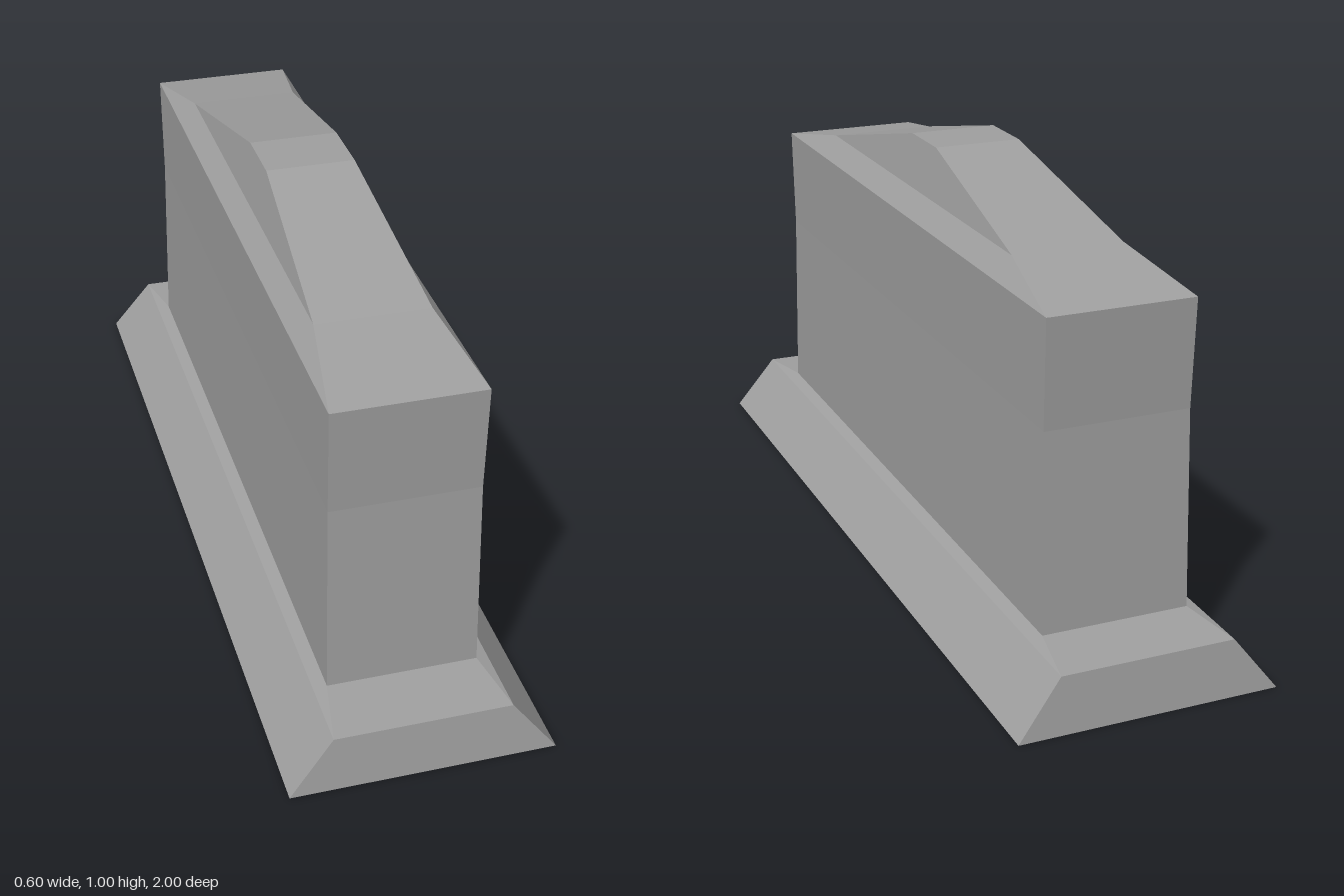
import * as THREE from 'three';

const stone = new THREE.MeshStandardMaterial({ color: 0xa0a0a0, side: THREE.DoubleSide, flatShading: true });
stone.name = 'grey stone';

// Flat-shaded mesh from planar quads, corners counter-clockwise from outside
function quadMesh(name, quads) {
  const positions = quads.flatMap(([a, b, c, d]) => [a, b, c, a, c, d].flat());
  const geometry = new THREE.BufferGeometry();
  geometry.setAttribute('position', new THREE.Float32BufferAttribute(positions, 3));
  geometry.computeVertexNormals();
  const mesh = new THREE.Mesh(geometry, stone);
  mesh.name = name;
  return mesh;
}

// Rectangular ring given as half width, height, half length
const ring = ([x, y, z]) => [[x, y, z], [x, y, -z], [-x, y, -z], [-x, y, z]];

// Four-sided open shell joining successive rings
function loft(name, sections) {
  const quads = [];
  for (let i = 0; i < sections.length - 1; i++) {
    const low = ring(sections[i]), high = ring(sections[i + 1]);
    for (let k = 0; k < 4; k++) {
      const n = (k + 1) % 4;
      quads.push([low[k], low[n], high[n], high[k]]);
    }
  }
  return quadMesh(name, quads);
}

export function createModel() {
  const model = new THREE.Group();
  model.name = 'monument';

  const plinthTop = [0.2, 0.128, 0.985];
  const bodyFoot = [0.171, 0.136, 0.83];
  const eaves = [0.17, 0.837, 0.823];

  // Hollow base: sloping skirt, ledge and turned-in bottom lip
  model.add(loft('plinthLip', [[0.25, 0.03, 0.845], [0.3, 0, 1]]));
  model.add(loft('plinthSkirt', [[0.3, 0, 1], plinthTop]));
  model.add(loft('plinthLedge', [plinthTop, bodyFoot]));

  // Slightly waisted walls
  model.add(loft('body', [bodyFoot, [0.168, 0.59, 0.814], eaves]));

  // Roof strip running over the crest, narrowing toward the middle
  const rise = [eaves, [0.13, 0.886, 0.565], [0.104, 1, 0.075]];
  const stations = [...rise, ...rise.map(([x, y, z]) => [x, y, -z]).reverse()];
  const strips = [];
  for (let i = 0; i < stations.length - 1; i++) {
    const [x0, y0, z0] = stations[i], [x1, y1, z1] = stations[i + 1];
    strips.push([[-x0, y0, z0], [x0, y0, z0], [x1, y1, z1], [-x1, y1, z1]]);
  }
  model.add(quadMesh('roofTop', strips));

  // Sloping roof cheeks on both long sides
  const cheeks = [];
  for (const s of [1, -1]) {
    for (let i = 0; i < rise.length - 1; i++) {
      const [x0, y0, z0] = rise[i], [x1, y1, z1] = rise[i + 1];
      cheeks.push([[s * x0, y0, s * z0], [s * x0, y0, -s * z0], [s * x1, y1, -s * z1], [s * x1, y1, s * z1]]);
    }
  }
  model.add(quadMesh('roofCheeks', cheeks));

  return model;
}
